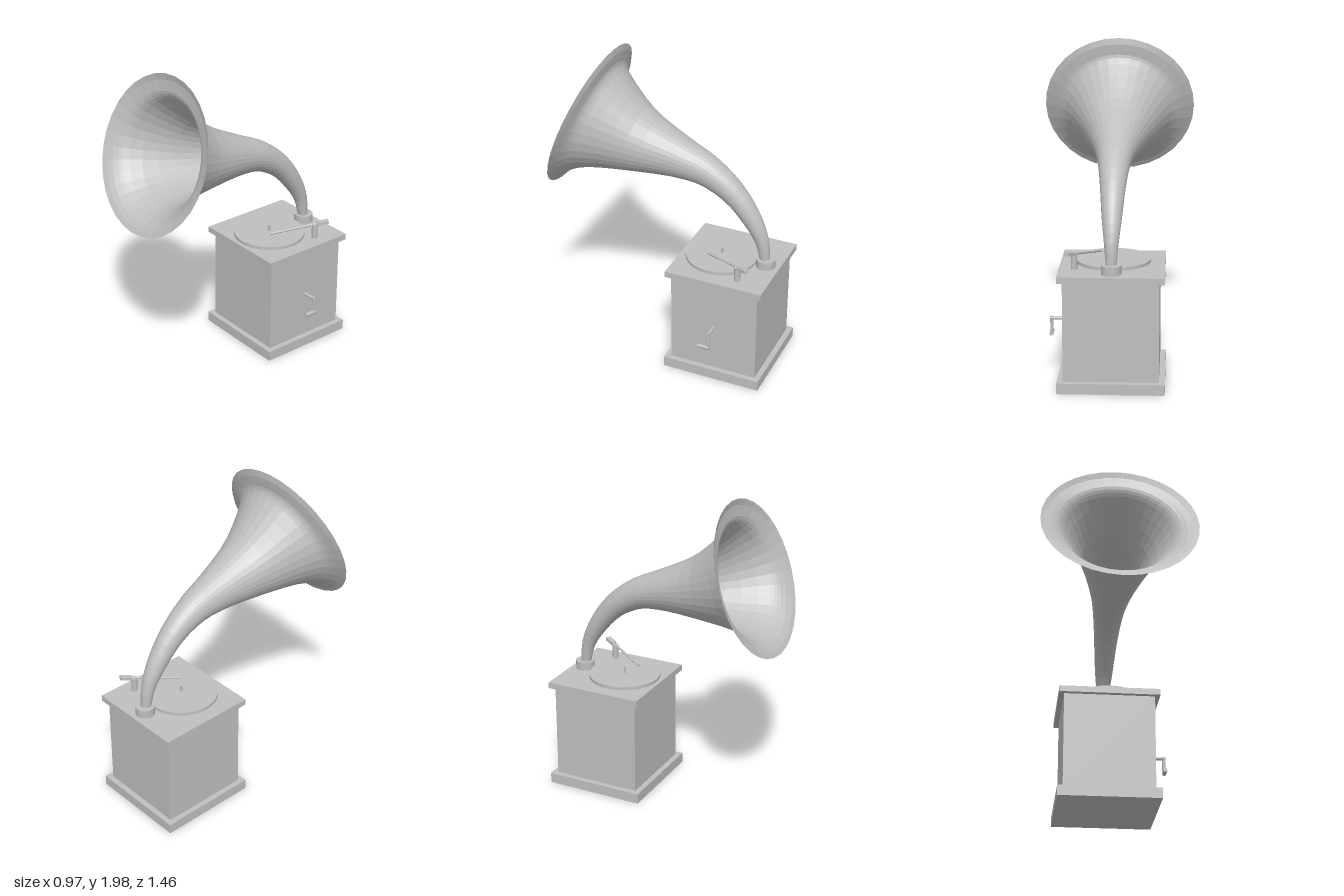
import * as THREE from 'three';

export function createModel() {
  const group = new THREE.Group();
  const grey = new THREE.MeshStandardMaterial({ color: 0xbfbfbf });
  grey.name = 'plain grey';
  const hornGrey = grey.clone();
  hornGrey.flatShading = true;
  hornGrey.side = THREE.DoubleSide;
  hornGrey.name = 'faceted horn grey';

  const add = (name, geometry, x = 0, y = 0, z = 0, material = grey) => {
    const mesh = new THREE.Mesh(geometry, material);
    mesh.name = name;
    mesh.position.set(x, y, z);
    group.add(mesh);
    return mesh;
  };
  const box = (name, w, y0, y1, z) =>
    add(name, new THREE.BoxGeometry(w, y1 - y0, w), 0, (y0 + y1) / 2, z);
  const disc = (name, r, y0, y1, x, z, sides = 32) =>
    add(name, new THREE.CylinderGeometry(r, r, y1 - y0, sides), x, (y0 + y1) / 2, z);
  // Round rod between two points
  const rod = (name, a, b, r) => {
    const from = new THREE.Vector3(...a), to = new THREE.Vector3(...b);
    const dir = to.clone().sub(from);
    const mid = from.clone().add(to).multiplyScalar(0.5);
    const mesh = add(name, new THREE.CylinderGeometry(r, r, dir.length(), 12), mid.x, mid.y, mid.z);
    mesh.quaternion.setFromUnitVectors(new THREE.Vector3(0, 1, 0), dir.normalize());
    return mesh;
  };

  // Cabinet
  const cz = -0.385;
  box('base', 0.64, 0, 0.066, cz);
  box('cabinet', 0.57, 0.066, 0.676, cz);
  box('lid', 0.632, 0.676, 0.715, cz);

  // Turntable and spindle
  disc('turntable', 0.228, 0.715, 0.735, 0, -0.32, 40);
  disc('spindle', 0.007, 0.735, 0.775, 0, -0.32, 10);

  // Tonearm on its post
  disc('tonearmPost', 0.019, 0.715, 0.81, 0.224, -0.512, 16);
  const tip = new THREE.Vector3(0.08, 0.763, -0.262);
  const tail = new THREE.Vector3(0.265, 0.824, -0.59);
  rod('tonearm', tip.toArray(), tail.toArray(), 0.008);
  const weight = add('counterweight', new THREE.BoxGeometry(0.034, 0.02, 0.076));
  weight.position.copy(tail).lerp(tip, 0.1);
  weight.lookAt(tail);

  // Winding crank
  rod('crankShaft', [0.28, 0.37, -0.388], [0.381, 0.37, -0.388], 0.011);
  rod('crankArm', [0.371, 0.381, -0.388], [0.371, 0.262, -0.388], 0.01);
  rod('crankHandle', [0.374, 0.272, -0.398], [0.374, 0.272, -0.32], 0.013);

  // Horn collar
  disc('hornCollar', 0.06, 0.715, 0.77, 0, -0.612, 24);

  // Horn: rings swept along a bent spine, each point is (y, z, radius)
  const spine = new THREE.CatmullRomCurve3([
    [0.74, -0.608, 0.03], [0.89, -0.582, 0.043], [1.029, -0.512, 0.06],
    [1.187, -0.383, 0.077], [1.3, -0.21, 0.1], [1.353, -0.03, 0.133],
    [1.42, 0.259, 0.218], [1.497, 0.495, 0.338], [1.512, 0.54, 0.385], [1.527, 0.58, 0.485],
  ].map(p => new THREE.Vector3(...p)));
  const rings = 27, sides = 32, pos = [], index = [];
  for (let i = 0; i <= rings; i++) {
    const p = spine.getPoint(i / rings), t = spine.getTangent(i / rings);
    const len = Math.hypot(t.x, t.y);
    const upY = t.y / len, upZ = -t.x / len;
    for (let j = 0; j < sides; j++) {
      const a = j / sides * Math.PI * 2, c = p.z * Math.cos(a);
      pos.push(p.z * Math.sin(a), p.x + upY * c, p.y + upZ * c);
      if (i === rings) continue;
      const k = i * sides + j, n = i * sides + (j + 1) % sides;
      index.push(k, k + sides, n, n, k + sides, n + sides);
    }
  }
  const horn = new THREE.BufferGeometry();
  horn.setAttribute('position', new THREE.Float32BufferAttribute(pos, 3));
  // Reverse winding so the outside is the front face
  for (let i = 0; i < index.length; i += 3) [index[i], index[i + 1]] = [index[i + 1], index[i]];
  horn.setIndex(index);
  horn.computeVertexNormals();
  add('horn', horn, 0, 0, 0, hornGrey);

  return group;
}
